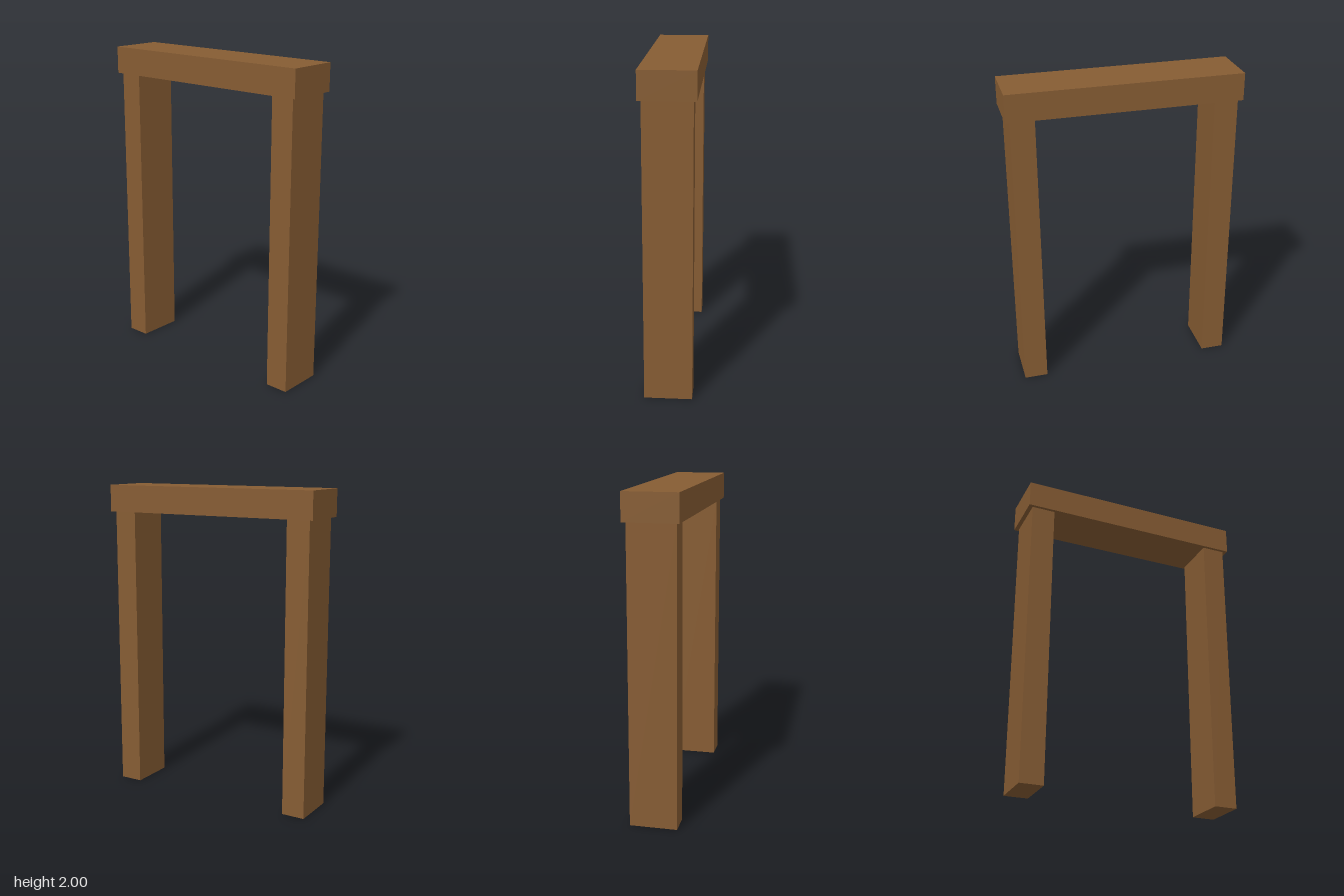
import * as THREE from 'three';

export function createModel() {
  const group = new THREE.Group();
  group.name = 'doorFrame';
  const wood = new THREE.MeshStandardMaterial({ color: 0x865c33 });
  wood.name = 'brown wood';

  const addBox = (name, width, height, depth, x, bottom) => {
    const mesh = new THREE.Mesh(new THREE.BoxGeometry(width, height, depth), wood);
    mesh.name = name;
    mesh.position.set(x, bottom + height / 2, 0);
    group.add(mesh);
  };

  // Two upright posts
  for (const side of [1, -1]) {
    addBox(side > 0 ? 'leftPost' : 'rightPost', 0.148, 1.83, 0.291, side * 0.622, 0);
  }

  // Crossbeam overhanging the posts on every side
  addBox('lintel', 1.446, 0.17, 0.331, 0, 1.83);

  return group;
}
